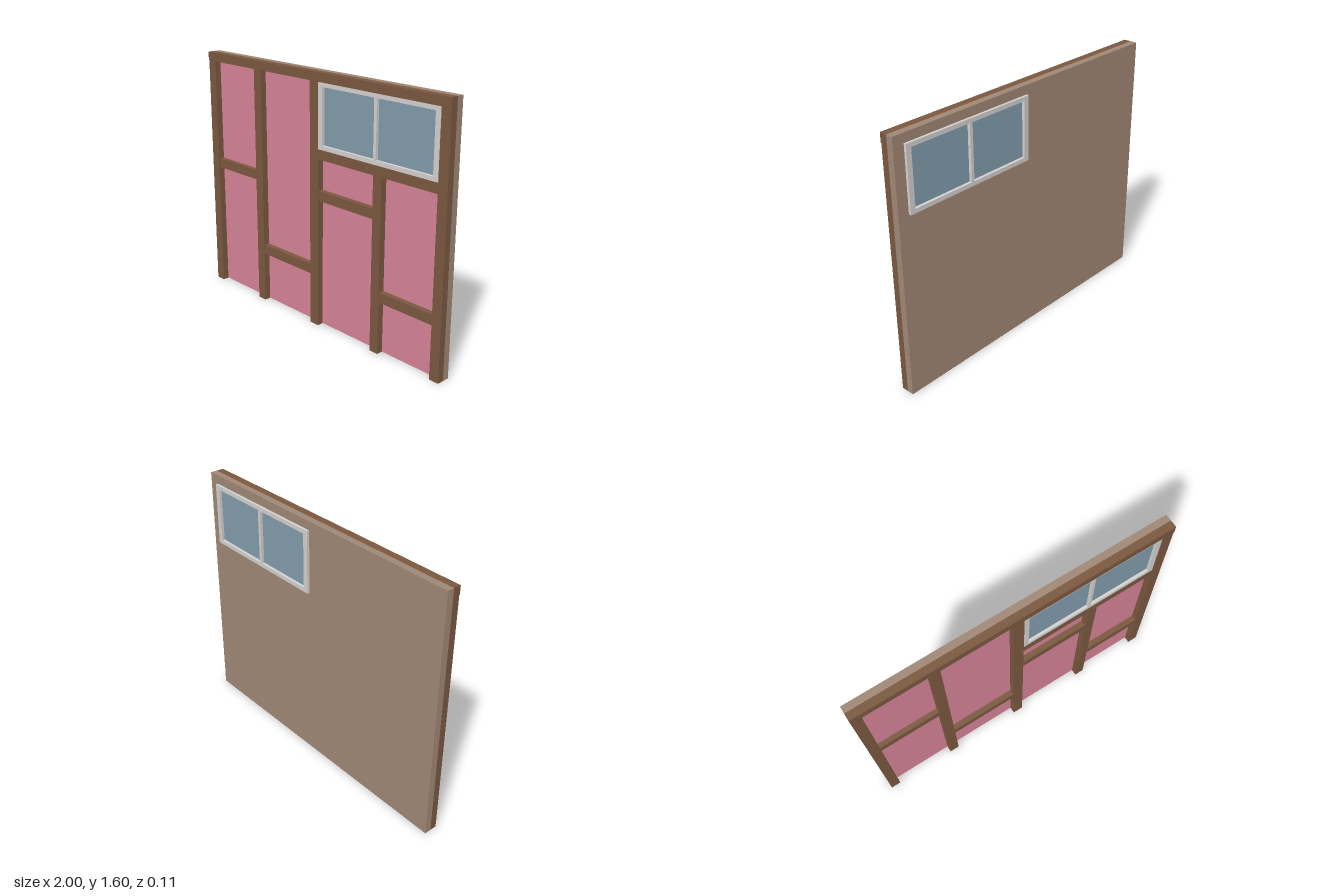
import * as THREE from 'three';

const mat = (name, color) => {
  const m = new THREE.MeshStandardMaterial({ color });
  m.name = name;
  return m;
};

export function createModel() {
  const wood = mat('dark timber', 0x7a583f);
  const plaster = mat('outer boarding', 0xa08775);
  const pink = mat('pink insulation', 0xd58296);
  const white = mat('window frame grey', 0xd3d1ce);
  const glass = mat('window glass', 0x819cab);

  const model = new THREE.Group();
  model.name = 'framedWall';

  // Box given by its extents on each axis
  const box = (name, material, x0, x1, y0, y1, z0, z1) => {
    const mesh = new THREE.Mesh(new THREE.BoxGeometry(x1 - x0, y1 - y0, z1 - z0), material);
    mesh.position.set((x0 + x1) / 2, (y0 + y1) / 2, (z0 + z1) / 2);
    mesh.name = name;
    model.add(mesh);
  };

  const rectPoints = (Type, x0, x1, y0, y1) => new Type([
    new THREE.Vector2(x0, y0), new THREE.Vector2(x1, y0),
    new THREE.Vector2(x1, y1), new THREE.Vector2(x0, y1),
  ]);

  // Upright plate with rectangular openings
  const plate = (name, material, outer, holes, z0, z1) => {
    const shape = rectPoints(THREE.Shape, ...outer);
    holes.forEach((h) => shape.holes.push(rectPoints(THREE.Path, ...h)));
    const geo = new THREE.ExtrudeGeometry(shape, { depth: z1 - z0, bevelEnabled: false });
    geo.translate(0, 0, z0);
    const mesh = new THREE.Mesh(geo, material);
    mesh.name = name;
    model.add(mesh);
  };

  const H = 1.595, plateY = 1.54, face = 0.006;
  const opening = [0.045, 0.925, 1.15, 1.53];
  const panes = [[0.07, 0.475, 1.167, 1.513], [0.495, 0.898, 1.167, 1.513]];

  // Outer boarding and insulation face, both cut for the window
  plate('outerBoarding', plaster, [-1, 1, 0, H], [opening], -0.037, face);
  plate('insulation', pink, [-0.97, 0.97, 0.001, 1.55], [opening], face, face + 0.002);

  // Top plate and studs
  box('topPlate', wood, -1, 1, plateY, H, face, 0.053);
  [[-1, -0.936, plateY], [-0.541, -0.477, plateY], [-0.032, 0.036, plateY],
    [0.481, 0.543, 1.135], [0.936, 1, plateY]].forEach(([x0, x1, top], i) =>
    box(`stud${i + 1}`, wood, x0, x1, 0, top, face, 0.049));

  // Window sill and blocking between the studs
  box('windowSill', wood, 0.036, 0.936, 1.08, 1.14, face, 0.047);
  [[-0.936, -0.541, 0.822, 0.038], [-0.477, -0.032, 0.33, 0.044],
    [0.036, 0.481, 0.822, 0.044], [0.543, 0.936, 0.33, 0.044]].forEach(([x0, x1, y, z], i) =>
    box(`blocking${i + 1}`, wood, x0, x1, y, y + 0.062, face, z));

  // Window frame with central mullion, and its recessed panes
  plate('windowFrame', white, [0.036, 0.931, 1.141, 1.539], panes, -0.053, 0.046);
  panes.forEach(([x0, x1, y0, y1], i) =>
    box(`windowPane${i + 1}`, glass, x0, x1, y0, y1, -0.035, 0.028));

  return model;
}
